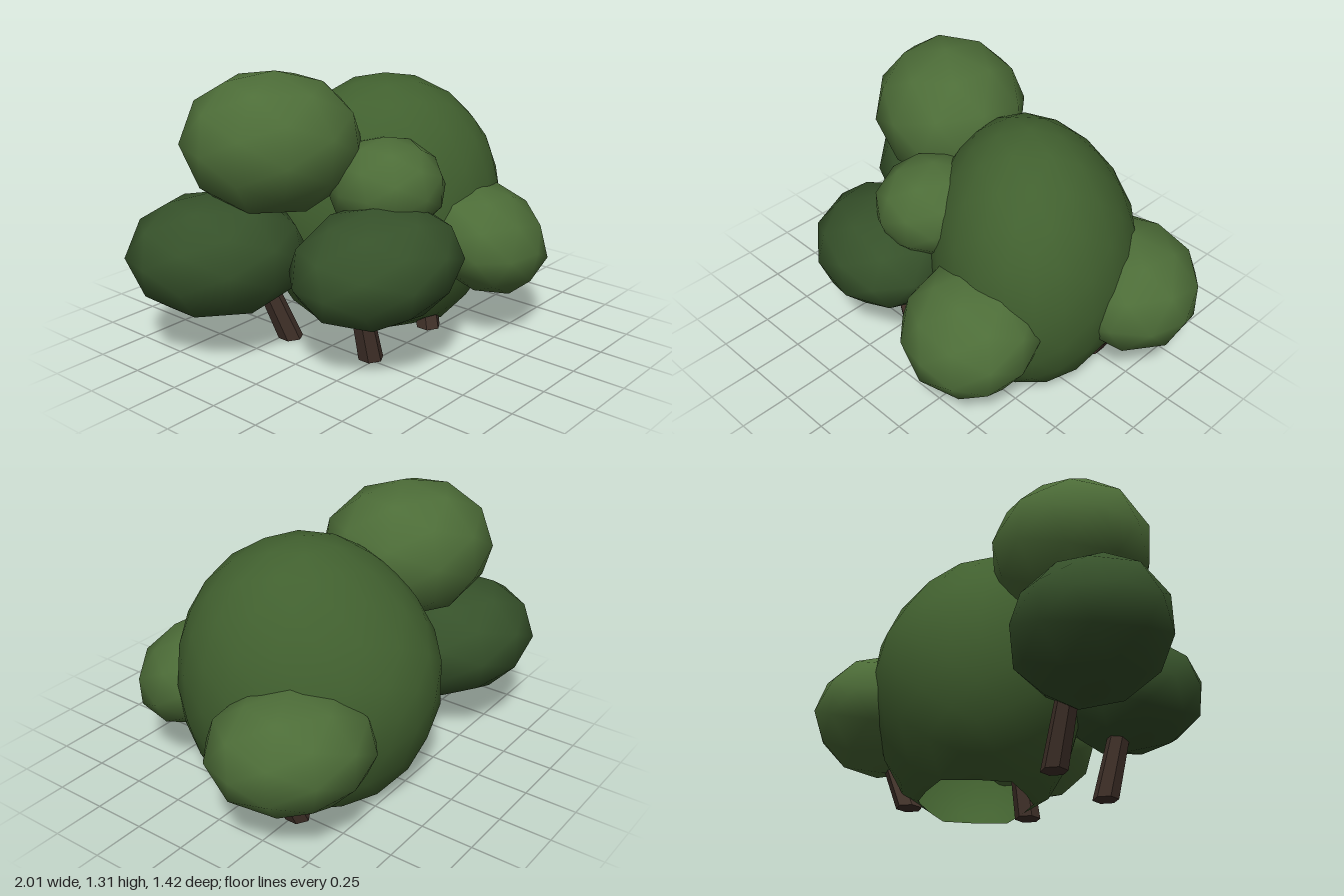
import * as THREE from 'three';
import { mergeVertices } from 'three/addons/utils/BufferGeometryUtils.js';

const green = (color) => new THREE.MeshStandardMaterial({ color, side: THREE.DoubleSide });
const DARK = green(0x36512a), MID = green(0x41602f), LIGHT = green(0x4d6d38);
const BARK = new THREE.MeshStandardMaterial({ color: 0x43332b });

// Smooth-shaded low-poly ball with shared vertices
function ball(detail) {
  const geo = new THREE.IcosahedronGeometry(1, detail);
  geo.deleteAttribute('normal');
  geo.deleteAttribute('uv');
  return mergeVertices(geo, 1e-4);
}

// Foliage clump: centre, radii and tilt of an ellipsoid
function clump(name, material, centre, radii, tilt, detail = 1) {
  const geo = ball(detail);
  geo.scale(...radii.map((r) => r * 1.02));
  geo.rotateX(tilt[0]).rotateY(tilt[1]).rotateZ(tilt[2]);
  geo.translate(...centre);
  geo.computeVertexNormals();
  const mesh = new THREE.Mesh(geo, material);
  mesh.name = name;
  return mesh;
}

// Central mass: flatter upper back, cut open at the ground with its rim at y = 0
function mainFoliage() {
  const [cx, cy, cz] = [0.235, 0.54, -0.125];
  const mesh = clump('mainFoliage', MID, [cx, cy, cz], [0.47, 0.66, 0.575], [0, Math.PI / 4, 0], 3);
  const geo = mesh.geometry, pos = geo.attributes.position, kept = [];
  for (let i = 0; i < geo.index.count; i += 3) {
    const face = [0, 1, 2].map((k) => geo.index.getX(i + k));
    if (face.some((v) => pos.getY(v) > 0.005)) kept.push(...face);
  }
  geo.setIndex(kept);
  for (let i = 0; i < pos.count; i++) {
    const y = pos.getY(i), dz = pos.getZ(i) - cz;
    const pinch = dz < 0 ? 0.4 * Math.max(0, y - 0.75) : 0;
    pos.setY(i, Math.max(0, y));
    pos.setZ(i, cz + dz * (1.035 - pinch) + 0.06 * Math.max(0, y - cy));
  }
  geo.computeVertexNormals();
  return mesh;
}

// Leaning six-sided trunk, with its foot flat on the ground
function trunk(name, foot, top) {
  const height = top[1] - foot[1];
  const geo = new THREE.CylinderGeometry(0.048, 0.06, height, 6).toNonIndexed();
  geo.translate(0, height / 2, 0);
  const pos = geo.attributes.position;
  for (let i = 0; i < pos.count; i++) {
    const t = pos.getY(i) / height;
    pos.setX(i, pos.getX(i) + foot[0] + t * (top[0] - foot[0]));
    pos.setZ(i, pos.getZ(i) + foot[2] + t * (top[2] - foot[2]));
  }
  geo.computeVertexNormals();
  const mesh = new THREE.Mesh(geo, BARK);
  mesh.name = name;
  return mesh;
}

export function createModel() {
  const bush = new THREE.Group();
  bush.name = 'bush';

  // Large central mass
  bush.add(mainFoliage());

  // Surrounding clumps
  bush.add(
    clump('upperFoliage', LIGHT, [-0.4, 0.985, -0.21], [0.405, 0.32, 0.355], [0.1, -0.6, -0.06]),
    clump('smallFoliage', LIGHT, [-0.09, 0.79, 0.19], [0.26, 0.22, 0.275], [0, -0.2, 0]),
    clump('frontRightFoliage', DARK, [-0.305, 0.505, 0.315], [0.395, 0.26, 0.325], [0, -0.4, 0.12]),
    clump('frontLeftFoliage', LIGHT, [0.375, 0.475, 0.415], [0.315, 0.235, 0.315], [0.5, 0, -0.2]),
    clump('backRightFoliage', DARK, [-0.615, 0.485, -0.36], [0.405, 0.285, 0.335], [0, -0.6, -0.05]),
    clump('backLeftFoliage', LIGHT, [0.645, 0.457, -0.33], [0.37, 0.27, 0.325], [0, -0.6, 0]),
  );

  // Trunks under the four low clumps
  bush.add(
    trunk('frontRightTrunk', [-0.23, 0, 0.22], [-0.34, 0.4, 0.23]),
    trunk('frontLeftTrunk', [0.22, 0, 0.21], [0.23, 0.4, 0.14]),
    trunk('backRightTrunk', [-0.3, 0, -0.22], [-0.45, 0.4, -0.28]),
    trunk('backLeftTrunk', [0.52, 0, -0.265], [0.72, 0.4, -0.27]),
  );
  return bush;
}
